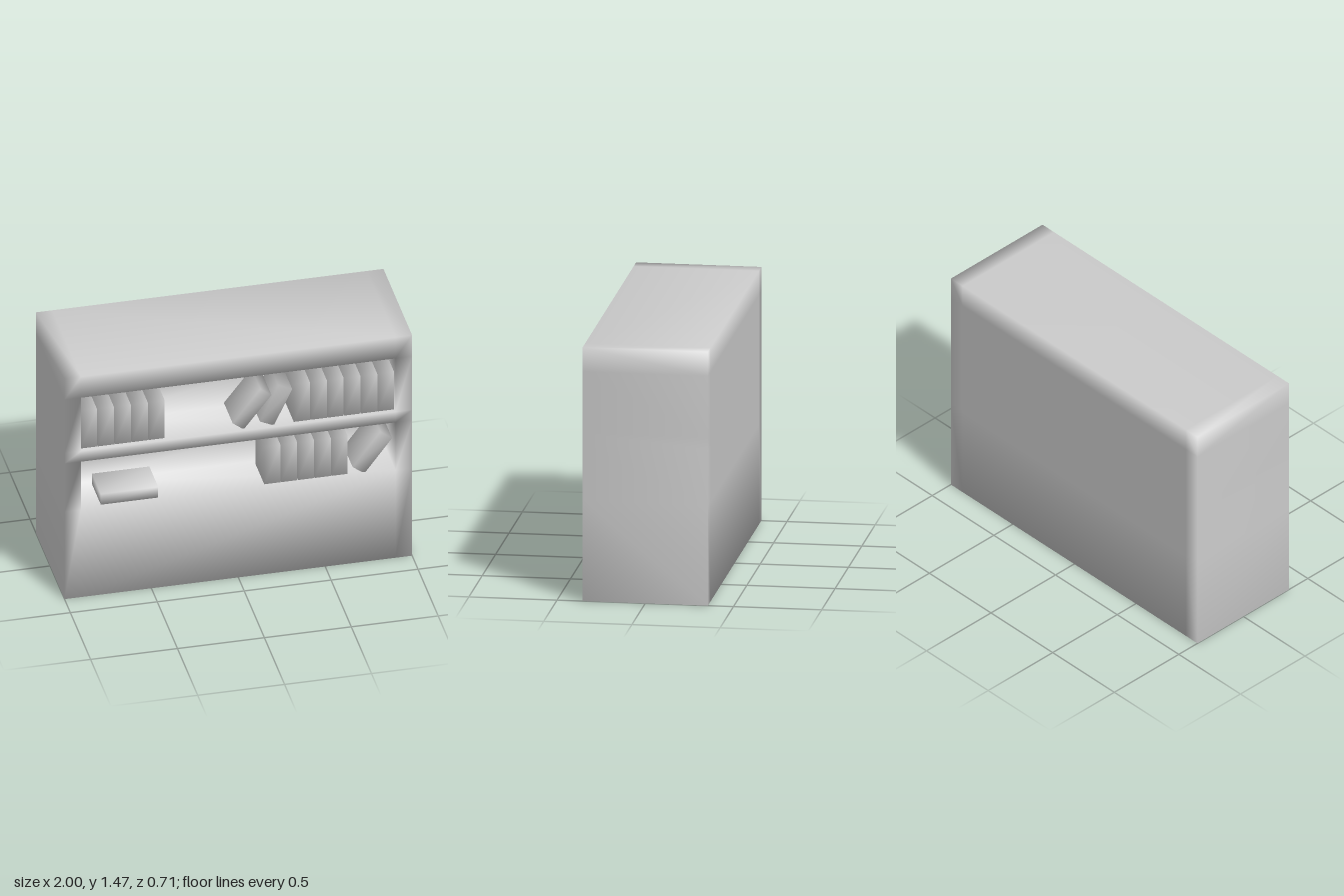
import * as THREE from 'three';
import { mergeVertices } from 'three/addons/utils/BufferGeometryUtils.js';

const material = new THREE.MeshStandardMaterial({ color: 0xcccccc });

// Outer size and grid lines of the case
const FRONT = 0.355, BACK = -0.355, RECESS = 0.08;
const XS = [-1, -0.905, 0.905, 1];
const YS = [0, 0.58, 0.9, 0.97, 1.325, 1.465];
const OPENINGS = [[0.58, 0.9], [0.97, 1.325]];

// Adds a grid of quads over us x vs; flip turns the faces round
function addGrid(out, us, vs, map, flip = false, skip = () => false) {
  for (let i = 0; i < us.length - 1; i++) {
    for (let j = 0; j < vs.length - 1; j++) {
      if (skip(i, j)) continue;
      const a = map(us[i], vs[j]), b = map(us[i + 1], vs[j]);
      const c = map(us[i + 1], vs[j + 1]), d = map(us[i], vs[j + 1]);
      const corners = flip ? [a, d, c, a, c, b] : [a, b, c, a, c, d];
      corners.forEach((p) => out.push(...p));
    }
  }
}

// Joins shared corners so the shading flows softly over every edge
function weld(geometry) {
  geometry.deleteAttribute('normal');
  geometry.deleteAttribute('uv');
  const welded = mergeVertices(geometry, 1e-4);
  welded.computeVertexNormals();
  return welded;
}

function caseGeometry() {
  const out = [];
  const zs = [BACK, FRONT];
  const isOpening = (i, j) => i === 1 && (j === 1 || j === 3);

  // Outer shell
  addGrid(out, XS, YS, (x, y) => [x, y, FRONT], false, isOpening);
  addGrid(out, XS, YS, (x, y) => [x, y, BACK], true);
  addGrid(out, zs, YS, (z, y) => [1, y, z], true);
  addGrid(out, zs, YS, (z, y) => [-1, y, z]);
  addGrid(out, XS, zs, (x, z) => [x, YS[5], z], true);
  addGrid(out, XS, zs, (x, z) => [x, 0, z]);

  // Recessed shelf openings
  const inX = [XS[1], XS[2]], inZ = [RECESS, FRONT];
  for (const ys of OPENINGS) {
    addGrid(out, inX, ys, (x, y) => [x, y, RECESS]);
    addGrid(out, inX, inZ, (x, z) => [x, ys[0], z], true);
    addGrid(out, inX, inZ, (x, z) => [x, ys[1], z]);
    addGrid(out, inZ, ys, (z, y) => [inX[0], y, z], true);
    addGrid(out, inZ, ys, (z, y) => [inX[1], y, z]);
  }
  const geometry = new THREE.BufferGeometry();
  geometry.setAttribute('position', new THREE.Float32BufferAttribute(out, 3));
  return weld(geometry);
}

// One softly shaded book, leaning to the model's left by lean degrees
function book(name, x, y, width, height, lean = 0) {
  const geometry = weld(new THREE.BoxGeometry(width, height, 0.22));
  const mesh = new THREE.Mesh(geometry, material);
  mesh.name = name;
  mesh.position.set(x, y, 0.22);
  mesh.rotation.z = -THREE.MathUtils.degToRad(lean);
  return mesh;
}

// A row of upright books starting at x on a shelf at height y
function bookRow(name, x, y, count, pitch) {
  const row = new THREE.Group();
  row.name = name;
  for (let i = 0; i < count; i++) {
    row.add(book('uprightBook', x + pitch * (i + 0.5), y + 0.126, 0.093, 0.25));
  }
  return row;
}

export function createModel() {
  const model = new THREE.Group();
  model.name = 'bookcase';

  const body = new THREE.Mesh(caseGeometry(), material);
  body.name = 'case';
  model.add(body);

  // Upright rows
  model.add(
    bookRow('upperLeftRow', -0.903, 0.97, 5, 0.0975),
    bookRow('upperRightRow', 0.323, 0.97, 6, 0.0968),
    bookRow('lowerRow', 0.153, 0.58, 5, 0.0968),
  );

  // Leaning books and one lying flat
  model.add(
    book('leaningBook', 0.085, 1.09, 0.08, 0.26, 38),
    book('leaningBook', 0.223, 1.096, 0.088, 0.25, 25),
    book('leaningBook', 0.777, 0.702, 0.085, 0.265, 37),
    book('lyingBook', -0.62, 0.616, 0.33, 0.07),
  );
  return model;
}
